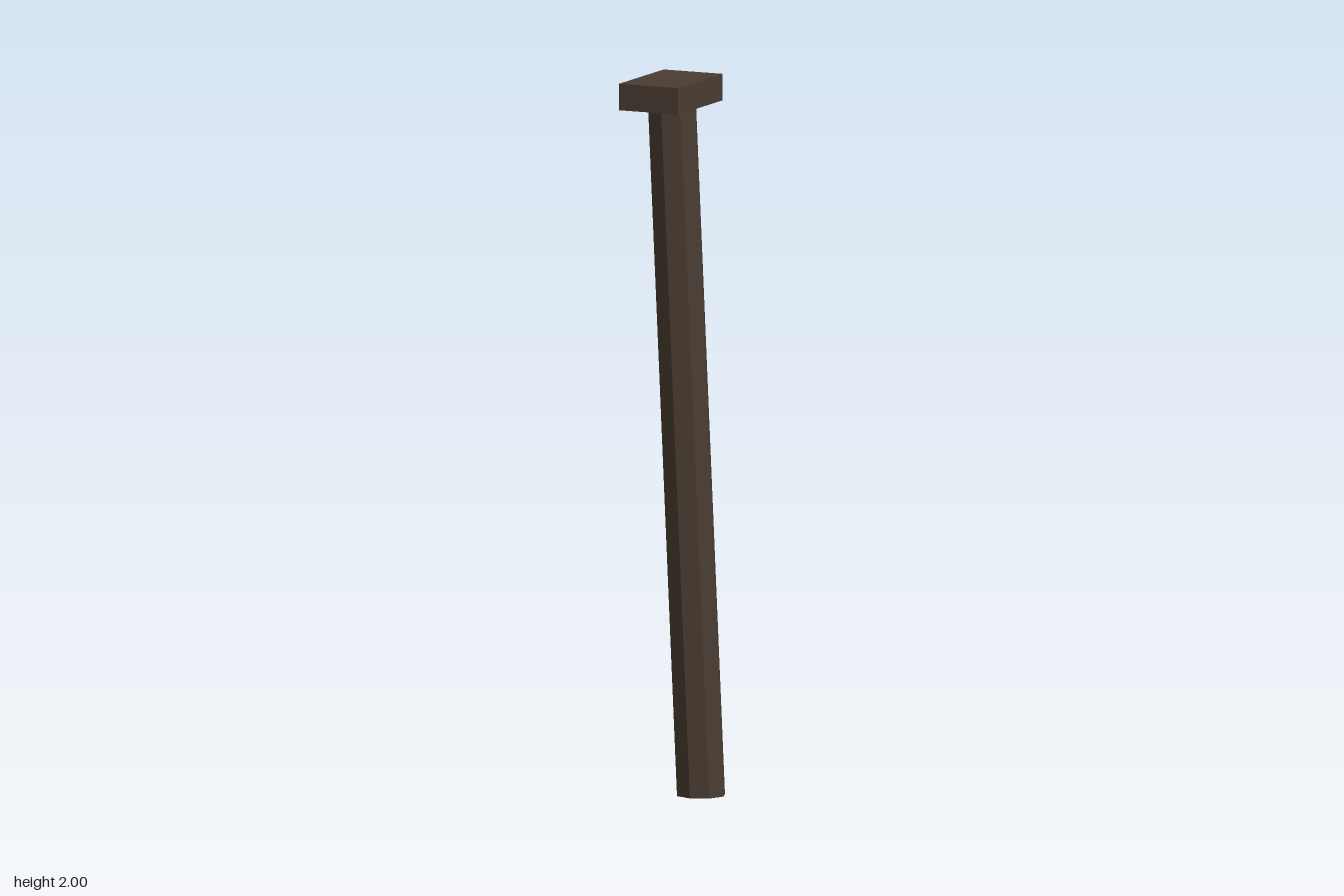
import * as THREE from 'three';

export function createModel() {
  const group = new THREE.Group();
  const wood = new THREE.MeshStandardMaterial({ color: 0x4a3d32, flatShading: true });

  // Leaning eight-sided post, sheared so that both ends stay level
  const height = 1.93;
  const foot = new THREE.Vector2(0.043, -0.05);
  const head = new THREE.Vector2(-0.022, -0.001);
  const postGeometry = new THREE.CylinderGeometry(0.07, 0.07, height, 8);
  postGeometry.translate(0, height / 2, 0);
  const pos = postGeometry.attributes.position;
  for (let i = 0; i < pos.count; i++) {
    const t = pos.getY(i) / height;
    pos.setX(i, pos.getX(i) + THREE.MathUtils.lerp(foot.x, head.x, t));
    pos.setZ(i, pos.getZ(i) + THREE.MathUtils.lerp(foot.y, head.y, t));
  }
  postGeometry.computeVertexNormals();
  const post = new THREE.Mesh(postGeometry, wood);
  post.name = 'post';
  group.add(post);

  // Flat rectangular cap
  const cap = new THREE.Mesh(new THREE.BoxGeometry(0.18, 0.074, 0.284), wood);
  cap.name = 'cap';
  cap.position.set(-0.025, 1.963, 0);
  group.add(cap);

  return group;
}
